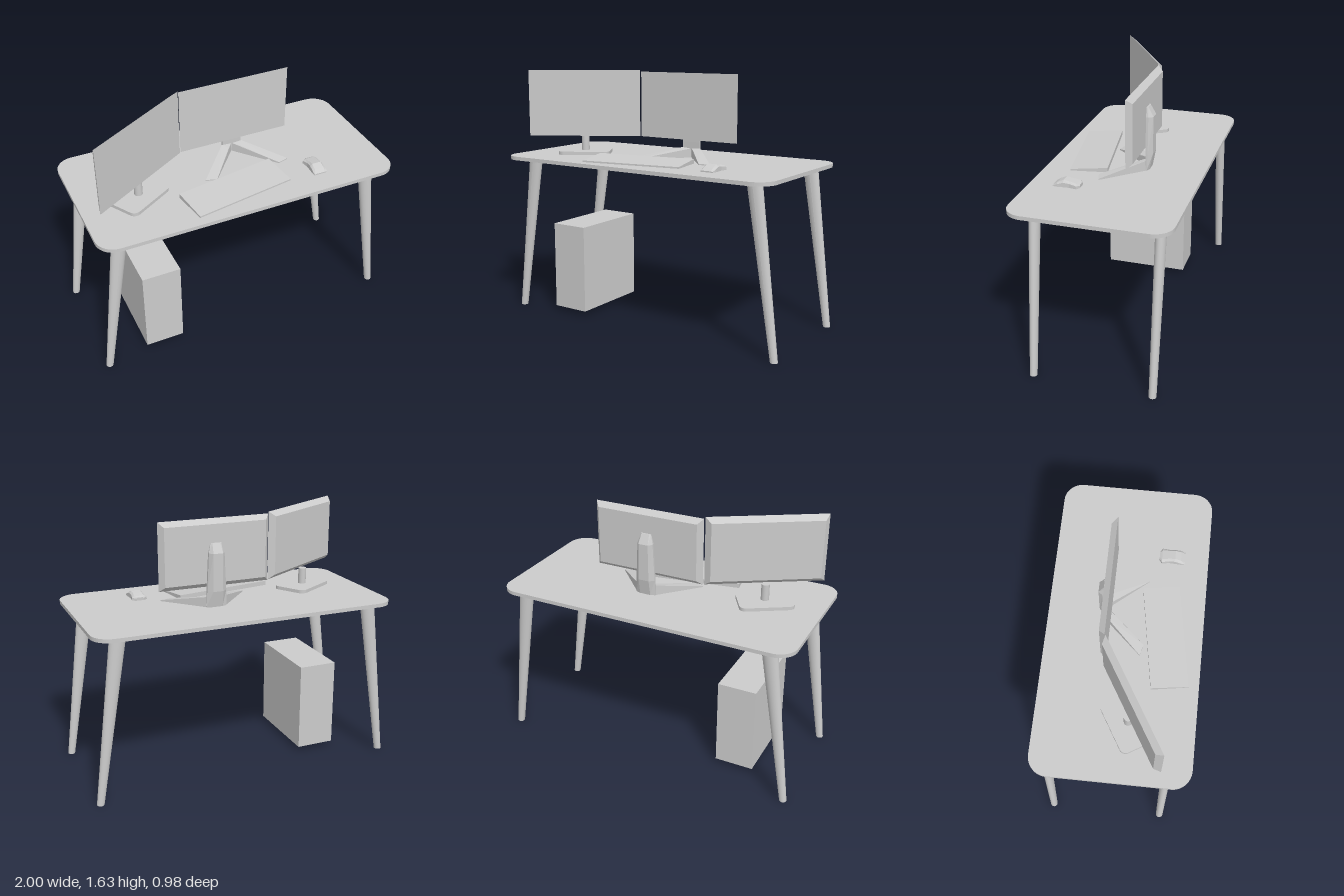
import * as THREE from 'three';
import { ConvexGeometry } from 'three/addons/geometries/ConvexGeometry.js';

const grey = new THREE.MeshStandardMaterial({ color: 0xcccccc });
const greyFlat = new THREE.MeshStandardMaterial({ color: 0xcccccc, flatShading: true });

function add(parent, name, geometry, material = grey) {
  const mesh = new THREE.Mesh(geometry, material);
  mesh.name = name;
  parent.add(mesh);
  return mesh;
}

// Horizontal slab with rounded corners, its underside at y = 0
function roundedSlab(w, d, r, h) {
  const x = w / 2 - r, y = d / 2 - r;
  const s = new THREE.Shape();
  s.absarc(x, y, r, 0, Math.PI / 2);
  s.absarc(-x, y, r, Math.PI / 2, Math.PI);
  s.absarc(-x, -y, r, Math.PI, Math.PI * 1.5);
  s.absarc(x, -y, r, Math.PI * 1.5, Math.PI * 2);
  s.closePath();
  return new THREE.ExtrudeGeometry(s, { depth: h, bevelEnabled: false, curveSegments: 10 })
    .rotateX(-Math.PI / 2);
}

// Solid through equal-length rings, counterclockwise around the direction of travel
function loft(rings) {
  const n = rings[0].length, index = [];
  for (let i = 0; i < rings.length - 1; i++) {
    for (let j = 0; j < n; j++) {
      const k = (j + 1) % n, a = i * n + j, b = i * n + k;
      index.push(a, b, b + n, a, b + n, a + n);
    }
  }
  const end = (rings.length - 1) * n;
  for (let j = 1; j < n - 1; j++) {
    index.push(0, j + 1, j, end, end + j, end + j + 1);
  }
  let g = new THREE.BufferGeometry();
  g.setAttribute('position', new THREE.Float32BufferAttribute(rings.flat(2), 3));
  g.setIndex(index);
  g = g.toNonIndexed();
  g.computeVertexNormals();
  return g;
}

const hull = (points) => new ConvexGeometry(points.map((p) => new THREE.Vector3(...p)));

// Screen panel with its front face at z = 0 and a smaller back face
function screenPanel(w, h, depth) {
  const ring = (inset, z) => {
    const x = w / 2 - inset, y = h / 2 - inset;
    return [[-x, -y, z], [x, -y, z], [x, y, z], [-x, y, z]];
  };
  return loft([ring(depth * 0.85, -depth), ring(0, 0)]);
}

// Tapered leg leaning outward, cut level at both ends
function legGeometry(sx) {
  const H = 1.045;
  const g = new THREE.CylinderGeometry(1, 1, H, 24).translate(0, H / 2, 0);
  const p = g.attributes.position;
  for (let i = 0; i < p.count; i++) {
    const t = p.getY(i) / H;
    const centre = THREE.MathUtils.lerp(0.975, 0.827, t);
    p.setX(i, sx * centre + p.getX(i) * THREE.MathUtils.lerp(0.023, 0.05, t));
    p.setZ(i, p.getZ(i) * THREE.MathUtils.lerp(0.0235, 0.032, t));
  }
  g.computeVertexNormals();
  return g;
}

export function createModel() {
  const model = new THREE.Group();
  model.name = 'computerDesk';
  const top = 1.067;

  // Desk
  const desk = new THREE.Group();
  desk.name = 'desk';
  model.add(desk);
  add(desk, 'deskTop', roundedSlab(1.965, 0.98, 0.12, 0.024)).position.set(-0.002, 1.043, 0);
  for (const sx of [-1, 1]) {
    for (const z of [0.342, -0.403]) {
      add(desk, `${z > 0 ? 'front' : 'back'}${sx > 0 ? 'Left' : 'Right'}Leg`, legGeometry(sx))
        .position.z = z;
    }
  }

  // Computer case beneath the desk
  add(model, 'computerCase', new THREE.BoxGeometry(0.253, 0.577, 0.555))
    .position.set(-0.578, 0.318, 0.037);

  // Centre monitor on a splayed stand
  const centre = new THREE.Group();
  centre.name = 'centreMonitor';
  model.add(centre);
  add(centre, 'centreScreen', screenPanel(0.734, 0.43, 0.036), greyFlat)
    .position.set(0.101, 1.402, -0.087);

  const cx = 0.105;
  // Chamfered post: y, front z, back z, half widths in front and behind
  const post = [
    [top, -0.128, -0.145, 0.068, 0.036],
    [1.17, -0.124, -0.165, 0.064, 0.035],
    [1.41, -0.124, -0.165, 0.052, 0.032],
    [1.47, -0.122, -0.132, 0.036, 0.026],
  ].map(([y, zf, zb, wf, wb]) => {
    const zm = zf + (zb - zf) * 0.35;
    return [[cx - wf, y, zf], [cx + wf, y, zf], [cx + wf, y, zm],
      [cx + wb, y, zb], [cx - wb, y, zb], [cx - wf, y, zm]];
  });
  add(centre, 'standPost', loft(post), greyFlat);

  for (const s of [-1, 1]) {
    const corners = [
      [0, 1.127, -0.13], [0.068, 1.132, -0.128], [0.038, 1.122, -0.088],
      [0.286, 1.074, 0.108], [0.216, 1.074, 0.128],
    ];
    const points = corners.flatMap(([x, y, z]) => [[cx + s * x, y, z], [cx + s * x, top, z]]);
    add(centre, s > 0 ? 'standFootLeft' : 'standFootRight', hull(points), greyFlat);
  }

  // Side monitor turned towards the user
  const side = new THREE.Group();
  side.name = 'sideMonitor';
  side.position.set(-0.612, top, 0.081);
  side.rotation.y = 0.537;
  model.add(side);
  add(side, 'sideScreen', screenPanel(0.748, 0.44, 0.037), greyFlat)
    .position.set(0.001, 1.407 - top, 0.035);
  add(side, 'sideBase', roundedSlab(0.343, 0.234, 0.04, 0.022));
  add(side, 'sidePost', new THREE.CylinderGeometry(0.026, 0.026, 0.11, 20))
    .position.y = 0.072;

  // Wedge keyboard, higher at the back
  const keyboard = add(model, 'keyboard', loft([
    [[-0.333, 0, -0.117], [-0.333, 0, 0.117], [-0.333, 0.01, 0.117], [-0.333, 0.029, -0.117]],
    [[0.333, 0, -0.117], [0.333, 0, 0.117], [0.333, 0.01, 0.117], [0.333, 0.029, -0.117]],
  ].map((ring) => ring.reverse())), greyFlat);
  keyboard.position.set(-0.046, top, 0.259);
  keyboard.rotation.y = 0.161;

  // Mouse: z, half width, shoulder height, top height
  const mouse = [
    [-0.082, 0.026, 0.014, 0.02],
    [-0.066, 0.05, 0.018, 0.027],
    [-0.02, 0.042, 0.025, 0.036],
    [0.018, 0.044, 0.028, 0.042],
    [0.056, 0.047, 0.016, 0.026],
    [0.083, 0.045, 0.005, 0.008],
  ].map(([z, w, ys, yt]) => [
    [-w, 0, z], [w, 0, z], [w * 0.97, ys, z], [w * 0.65, yt, z], [-w * 0.65, yt, z], [-w * 0.97, ys, z],
  ]);
  add(model, 'mouse', loft(mouse), greyFlat).position.set(0.507, top, 0.257);

  return model;
}
